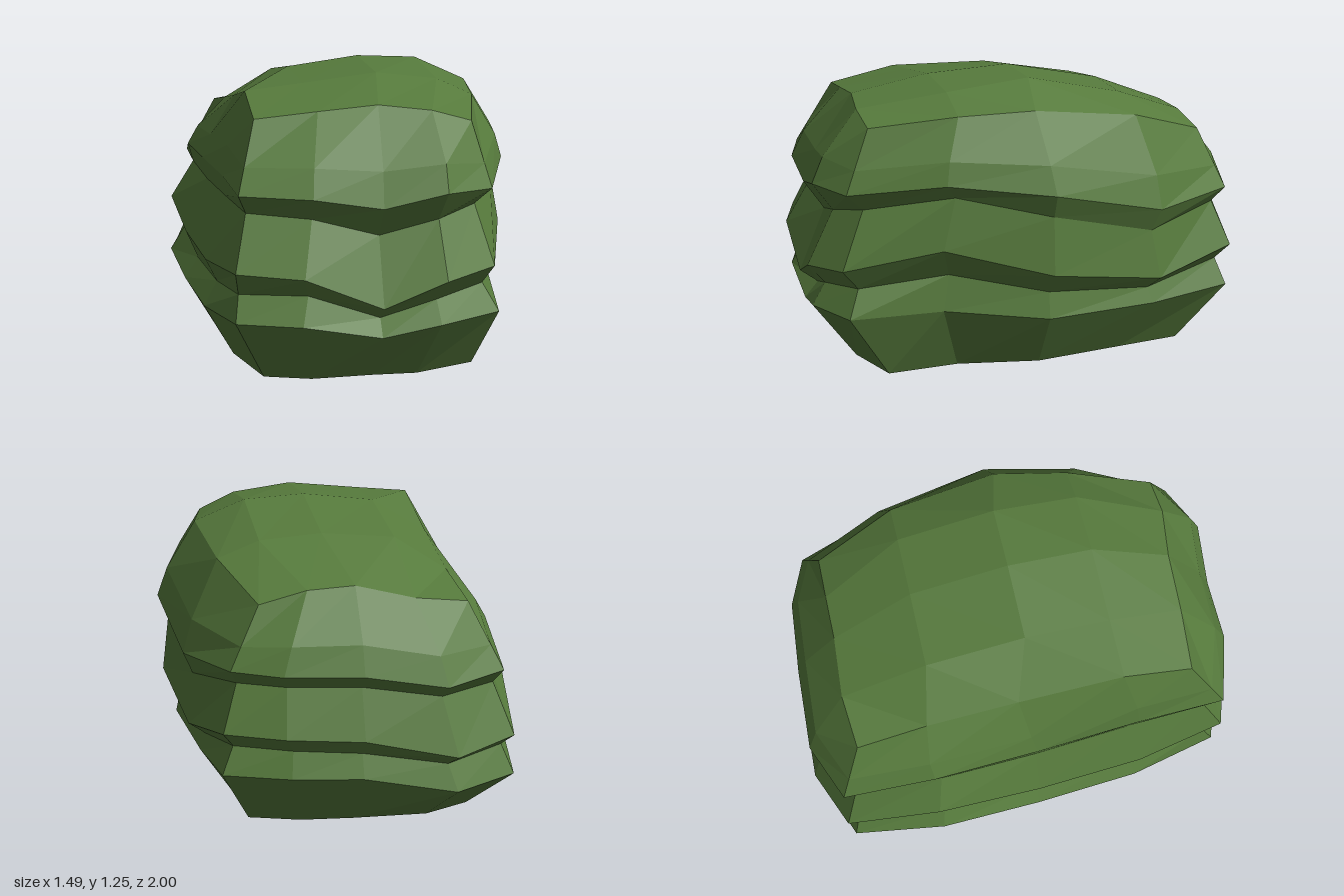
import * as THREE from 'three';

// Plan outline, 16 columns, counterclockwise from the front corner at -x (unit extents)
const OUT_X = [-1, -.48, -.04, .32, 1, .83, 1, .92, 1, .44, 0, -.53, -1, -1, -.98, -.94];
const OUT_Z = [.88, .97, .98, 1, .9, .5, .05, -.47, -.86, -.95, -.98, -1, -.89, -.47, 0, .48];
const N = 16;

// Each level: extents e [front, back, -x side, +x side], the x size of the four corners c
// (in outline order) and the height y of every column
const LEVELS = [
  { e: [.78, .77, .6, .51], c: [.48, .43, .44, .52], y: Array(N).fill(0) },
  // lower lip and groove
  { e: [.98, .98, .745, .67], c: [.62, .49, .57, .67],
    y: [.3, .295, .23, .275, .285, .3, .25, .245, .275, .27, .26, .18, .2, .26, .25, .26] },
  { e: [.92, .94, .68, .645], c: [.6, .43, .52, .62],
    y: [.41, .41, .3, .37, .4, .455, .365, .315, .39, .38, .36, .295, .325, .37, .34, .36] },
  // middle lip and groove
  { e: [1, 1, .735, .725], c: [.62, .46, .565, .66],
    y: [.515, .5, .36, .465, .49, .58, .46, .375, .46, .45, .43, .34, .38, .52, .47, .47] },
  { e: [.88, .92, .63, .695], c: [.56, .4, .5, .58],
    y: [.74, .72, .64, .7, .735, .8, .71, .59, .655, .65, .64, .585, .6, .7, .71, .73] },
  // upper lip
  { e: [.97, .98, .65, .74], c: [.6, .45, .53, .61],
    y: [.83, .82, .77, .825, .815, .86, .81, .69, .72, .71, .7, .64, .665, .78, .81, .83] },
];

// Rim of the crown
const RIM_X = [-.51, -.25, 0, .22, .39, .5, .56, .52, .4, .2, 0, -.25, -.48, -.47, -.48, -.5];
const RIM_Z = [.7, .72, .73, .765, .76, .4, .08, -.4, -.76, -.76, -.76, -.78, -.76, -.45, -.05, .4];
const RIM_Y = [1.11, 1.135, 1.155, 1.13, 1.08, 1.125, 1.14, 1.08, .97, 1.02, 1.03, .97, .94, 1, 1.08, 1.175];

// Inner heights of the crown, from front to back
const CROWN_X = [-.25, .07, .34];
const CROWN_Z = [.4, .03, -.4];
const CROWN_Y = [[1.2, 1.235, 1.2], [1.215, 1.255, 1.24], [1.14, 1.17, 1.15]];

// Joins a grid of points (rows of equal length) into a faceted surface
function skin(rows) {
  const w = rows[0].length, index = [];
  for (let r = 0; r < rows.length - 1; r++) {
    for (let c = 0; c < w - 1; c++) {
      const a = r * w + c, b = a + 1, d = a + w, f = d + 1;
      index.push(a, b, f, a, f, d);
    }
  }
  const g = new THREE.BufferGeometry().setFromPoints(rows.flat());
  g.setIndex(index);
  g.computeVertexNormals();
  return g;
}

// One ring of the sides; every fourth column is a corner with its own x size
function levelRing({ e: [front, back, right, left], c, y }) {
  return y.map((h, i) => {
    const sizeX = i % 4 === 0 ? c[i / 4] : OUT_X[i] < 0 ? right : left;
    return new THREE.Vector3(OUT_X[i] * sizeX, h, OUT_Z[i] * (OUT_Z[i] < 0 ? back : front));
  });
}

export function createModel() {
  const group = new THREE.Group();
  group.name = 'layeredHedge';
  const material = new THREE.MeshStandardMaterial({ color: 0x567a3c, flatShading: true, side: THREE.DoubleSide });

  const rings = LEVELS.map(levelRing);
  const rim = RIM_X.map((x, i) => new THREE.Vector3(x, RIM_Y[i], RIM_Z[i]));

  // Shoulder between the upper lip and the rim: straight at the corners, rounded between them
  const lip = rings[rings.length - 1];
  const shoulder = lip.map((p, i) => {
    const bulge = i % 4 === 0 ? 1 : 1.03;
    return p.clone().lerp(rim[i], .37).multiply(new THREE.Vector3(bulge, 1, bulge));
  });
  rings.push(shoulder, rim);

  const sides = new THREE.Mesh(skin(rings.map(r => [...r, r[0]])), material);
  sides.name = 'layeredSides';

  // Crown: a 5 by 5 patch whose border is the rim
  const crownRows = [rim.slice(0, 5)];
  for (let r = 1; r < 4; r++) {
    crownRows.push([rim[N - r],
      ...CROWN_X.map((x, c) => new THREE.Vector3(x, CROWN_Y[r - 1][c], CROWN_Z[r - 1])),
      rim[4 + r]]);
  }
  crownRows.push(rim.slice(8, 13).reverse());
  const crown = new THREE.Mesh(skin(crownRows), material);
  crown.name = 'crown';

  group.add(sides, crown);
  return group;
}
